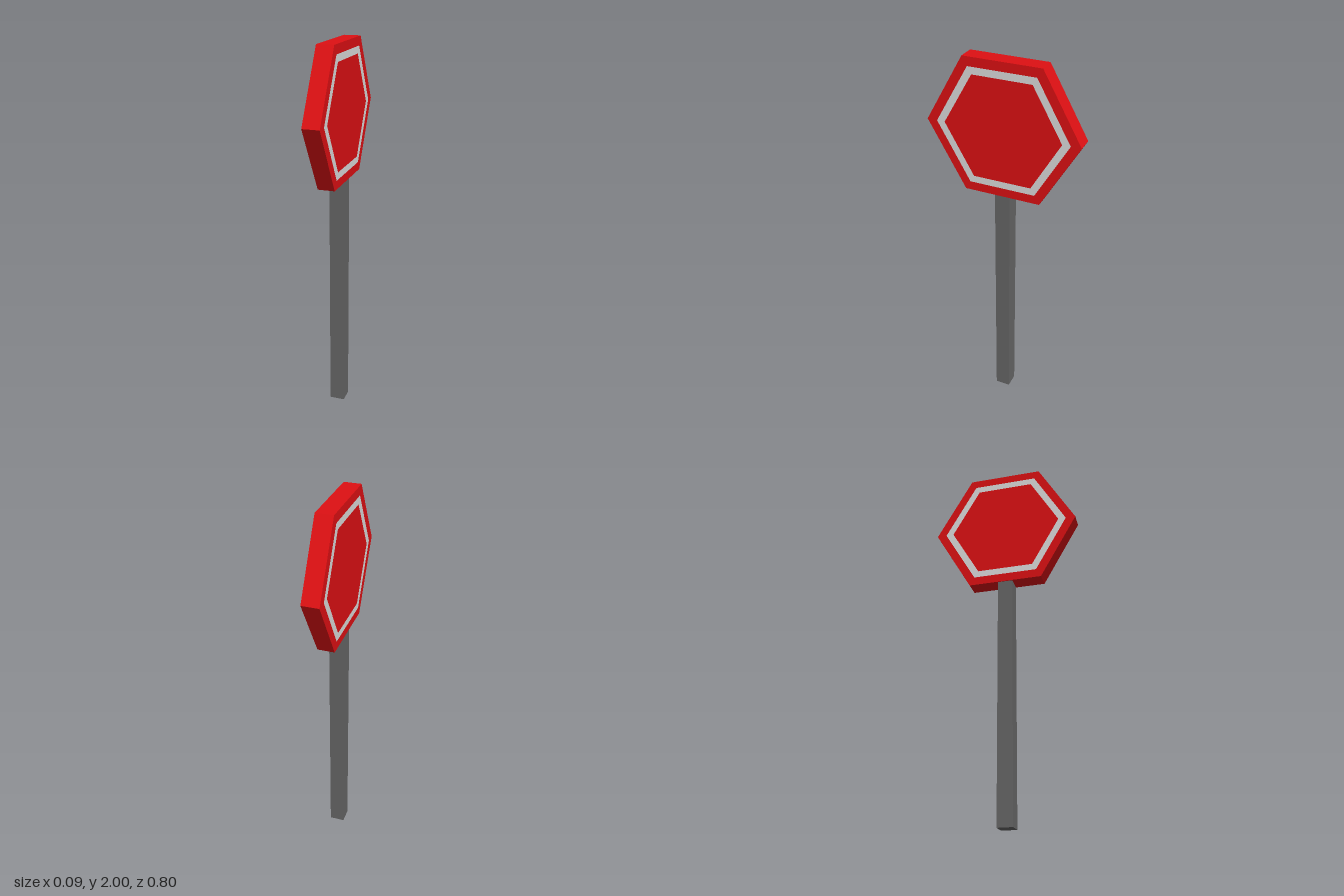
import * as THREE from 'three';

const material = (name, color) => {
  const m = new THREE.MeshStandardMaterial({ color });
  m.name = name;
  return m;
};

export function createModel() {
  const red = material('sign red', 0xde1013);
  const white = material('border white', 0xdcdcdc);
  const grey = material('post grey', 0x666666);

  const group = new THREE.Group();
  group.name = 'roadSign';
  const add = (name, geometry, mat, x, y) => {
    const mesh = new THREE.Mesh(geometry, mat);
    mesh.name = name;
    mesh.position.set(x, y, 0);
    group.add(mesh);
  };

  const radius = 0.4, thickness = 0.088;
  const apothem = radius * Math.cos(Math.PI / 6);
  const centerY = 2 - apothem;
  const postHeight = centerY - apothem;

  // Square post
  add('post', new THREE.BoxGeometry(0.08, postHeight, 0.08), grey, 0, postHeight / 2);

  // Hexagonal panel with its faces towards the two sides
  const panel = new THREE.CylinderGeometry(radius, radius, thickness, 6).toNonIndexed();
  panel.rotateZ(Math.PI / 2);
  panel.computeVertexNormals();
  add('signPanel', panel, red, 0, centerY);

  // Painted border on each face
  for (const side of [1, -1]) {
    const border = new THREE.RingGeometry(0.305, 0.347, 6, 1);
    border.rotateY(side * Math.PI / 2);
    add(side > 0 ? 'leftBorder' : 'rightBorder', border, white, side * (thickness / 2 + 0.001), centerY);
  }
  return group;
}
